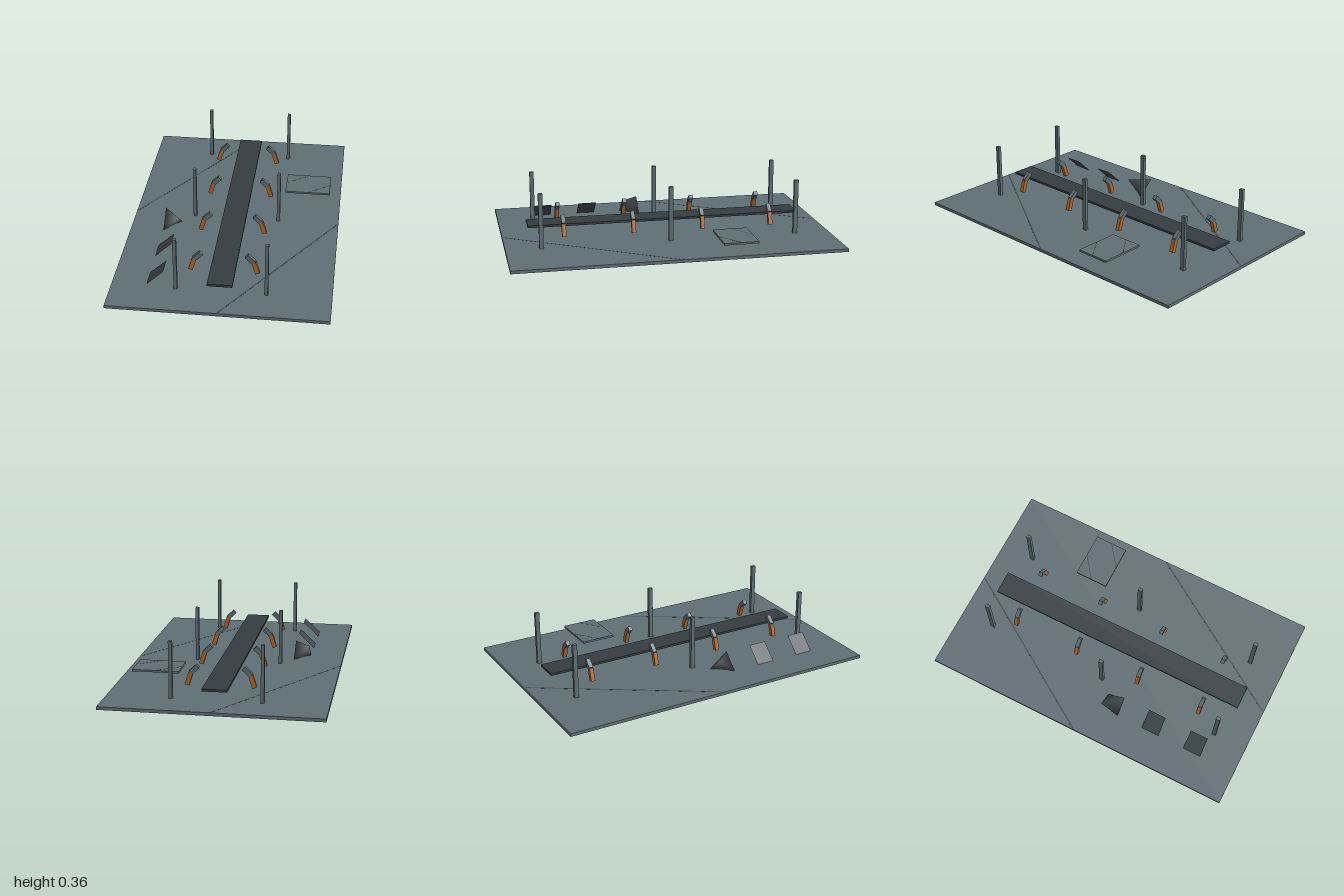
import * as THREE from 'three';

const mat = (color, side = THREE.FrontSide) => new THREE.MeshStandardMaterial({ color, side });
const slate = mat(0x5f6f74);
const seamDark = mat(0x424d51);
const dark = mat(0x353d41);
const orange = mat(0xb0682c);
const darkSheet = mat(0x40474f, THREE.DoubleSide);

function add(parent, name, geometry, material, x = 0, y = 0, z = 0) {
  const mesh = new THREE.Mesh(geometry, material);
  mesh.name = name;
  mesh.position.set(x, y, z);
  parent.add(mesh);
  return mesh;
}

// Flat slab with two diagonal seams joining the midpoints of its sides
function seamedSlab(name, w, h, d, seamWidth) {
  const group = new THREE.Group();
  group.name = name;
  add(group, name + 'Body', new THREE.BoxGeometry(w, h, d), slate);
  const length = Math.hypot(w, d) / 2 - seamWidth * 2;
  for (const s of [-1, 1]) {
    const seam = add(group, name + 'Seam', new THREE.BoxGeometry(seamWidth, h + 0.001, length),
      seamDark, s * w / 4, 0, s * d / 4);
    seam.rotation.y = -Math.atan2(w, d);
  }
  return group;
}

// Square bar between two points of the xy plane
function bar(parent, name, [x0, y0], [x1, y1], width, depth, material) {
  const length = Math.hypot(x1 - x0, y1 - y0);
  const mesh = add(parent, name, new THREE.BoxGeometry(width, length, depth), material,
    (x0 + x1) / 2, (y0 + y1) / 2, 0);
  mesh.rotation.z = Math.atan2(x0 - x1, y1 - y0);
}

export function createModel() {
  const model = new THREE.Group();
  model.name = 'workStation';

  // Floor and the raised side panel
  const floor = seamedSlab('floor', 1.28, 0.019, 2, 0.009);
  floor.position.y = 0.01;
  model.add(floor);
  const panel = seamedSlab('sidePanel', 0.285, 0.012, 0.212, 0.005);
  panel.position.set(0.428, 0.072, -0.362);
  model.add(panel);

  // Long central belt
  add(model, 'belt', new THREE.BoxGeometry(0.146, 0.014, 1.7), dark, 0, 0.098, -0.004);

  for (const side of [-1, 1]) {
    // Upright posts
    for (const z of [-0.785, 0, 0.785]) {
      add(model, 'post', new THREE.BoxGeometry(0.02, 0.337, 0.026), slate, side * 0.263, 0.188, z);
    }
    // Two-part arms leaning in over the belt
    for (const z of [-0.645, -0.215, 0.215, 0.64]) {
      const arm = new THREE.Group();
      arm.name = 'arm';
      arm.position.z = z;
      bar(arm, 'lowerArm', [side * 0.197, 0.06], [side * 0.174, 0.135], 0.027, 0.025, orange);
      bar(arm, 'upperArm', [side * 0.176, 0.134], [side * 0.133, 0.174], 0.028, 0.025, slate);
      model.add(arm);
    }
  }

  // Four-cornered wedge with smooth shading
  const wedge = new THREE.TetrahedronGeometry(Math.sqrt(3));
  wedge.setAttribute('normal', wedge.attributes.position.clone().applyMatrix4(
    new THREE.Matrix4().makeScale(0.577, 0.577, 0.577)));
  add(model, 'wedge', wedge, mat(0x454e52), -0.386, 0.067, 0.142).scale.set(0.049, 0.046, 0.057);

  // Tilted square sheets, rising toward the belt
  for (const z of [0.425, 0.712]) {
    const sheet = new THREE.PlaneGeometry(Math.hypot(0.098, 0.092), 0.114);
    sheet.rotateX(-Math.PI / 2);
    add(model, 'tiltedSheet', sheet, darkSheet, -0.386, 0.067, z).rotation.z = Math.atan2(0.092, 0.098);
  }
  return model;
}
